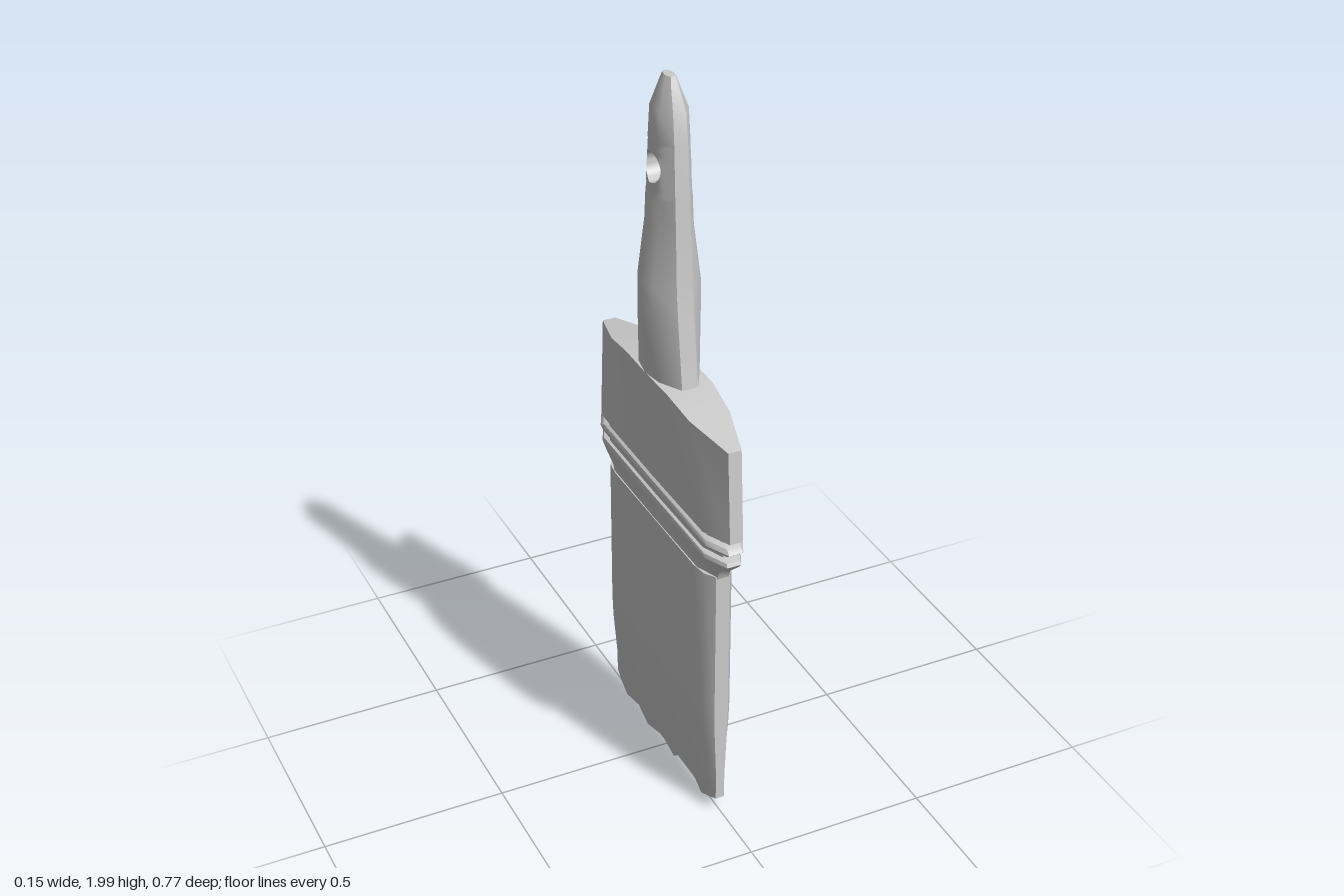
import * as THREE from 'three';
import { toCreasedNormals } from 'three/addons/utils/BufferGeometryUtils.js';

const material = new THREE.MeshStandardMaterial({ color: 0xcccccc });

function makeMesh(name, tris, crease = 0.6) {
  const g = new THREE.BufferGeometry();
  g.setAttribute('position', new THREE.Float32BufferAttribute(tris.flat(), 3));
  const mesh = new THREE.Mesh(toCreasedNormals(g, crease), material);
  mesh.name = name;
  return mesh;
}

const quad = (out, a, b, c, d) => out.push(a, b, c, a, c, d);
const flip = ([x, y, z]) => [-x, y, z];

// Skin rows of [x, y, z] (the +x half, z ascending) mirrored in x, from bottom to top
function loft(rows, capBottom, capTop) {
  const out = [];
  const rings = rows.map(r => [...r, ...r.map(flip).reverse()]);
  for (let j = 0; j < rings.length - 1; j++) {
    const lo = rings[j], hi = rings[j + 1], n = lo.length;
    for (let i = 0; i < n; i++) {
      const k = (i + 1) % n;
      quad(out, lo[i], hi[i], hi[k], lo[k]);
    }
  }
  const cap = (r, up) => {
    for (let i = 0; i < r.length - 1; i++) {
      const [a, b] = [r[i], r[i + 1]];
      if (up) quad(out, a, flip(a), flip(b), b);
      else quad(out, a, b, flip(b), flip(a));
    }
  };
  if (capBottom) cap(rows[0], false);
  if (capTop) cap(rows[rows.length - 1], true);
  return out;
}

// Mirror a half row of [x, y, z >= 0] (starting at z = 0) to negative z
const fullRow = half => [...half.slice(1).reverse().map(([x, y, z]) => [x, y, -z]), ...half];

// Handle: y, half thickness, half width, half thickness at the narrow edge
const HANDLE = [
  [1.205, 0.066, 0.122, 0.022], [1.4, 0.076, 0.097, 0.022], [1.47, 0.077, 0.09, 0.022],
  [1.62, 0.056, 0.081, 0.02], [1.7, 0.053, 0.077, 0.02], [1.84, 0.048, 0.067, 0.018],
  [1.92, 0.045, 0.058, 0.017], [1.985, 0.02, 0.029, 0.009], [2.0, 0.013, 0.022, 0.006],
];

function handleAt(y) {
  let i = 0;
  while (i < HANDLE.length - 2 && HANDLE[i + 1][0] < y) i++;
  const a = HANDLE[i], b = HANDLE[i + 1], t = (y - a[0]) / (b[0] - a[0]);
  return a.map((v, k) => v + (b[k] - v) * t);
}

// Half thickness of the handle at a point of its side silhouette
function handleX(y, z) {
  const [, hx, hz, ex] = handleAt(y);
  const s = Math.min(1, Math.abs(z) / hz), mx = hx * 0.84;
  return s < 0.5 ? hx + (mx - hx) * s * 2 : mx + (ex - mx) * (s * 2 - 1);
}

function handle() {
  const row = ([y, , hz]) => [-1, -0.5, 0, 0.5, 1].map(s => [handleX(y, s * hz), y, s * hz]);
  const out = [
    ...loft(HANDLE.slice(0, 5).map(row), true, false),
    ...loft(HANDLE.slice(5).map(row), false, true),
  ];

  // Section around the hanging hole: blend a circle out to the handle outline
  const y0 = 1.7, y1 = 1.84, cy = 1.77, radius = 0.039, seg = 8, steps = 4;
  const edge = [];
  const corners = [[-1, y0], [1, y0], [1, y1], [-1, y1]];
  corners.forEach((c, k) => {
    const d = corners[(k + 1) % 4];
    for (let i = 0; i < seg; i++) {
      const t = i / seg, y = c[1] + (d[1] - c[1]) * t;
      edge.push([(c[0] + (d[0] - c[0]) * t) * handleAt(y)[2], y]);
    }
  });
  const loops = [];
  for (let s = 0; s <= steps; s++) {
    loops.push(edge.map(([ez, ey]) => {
      const a = Math.atan2(ey - cy, ez), t = s / steps;
      const z = radius * Math.cos(a) * (1 - t) + ez * t;
      const y = (cy + radius * Math.sin(a)) * (1 - t) + ey * t;
      return [handleX(y, z), y, z];
    }));
  }
  const n = edge.length;
  for (let i = 0; i < n; i++) {
    const k = (i + 1) % n;
    for (let s = 0; s < steps; s++) {
      const a = loops[s][i], b = loops[s][k], c = loops[s + 1][k], d = loops[s + 1][i];
      quad(out, a, b, c, d);
      quad(out, flip(d), flip(c), flip(b), flip(a));
    }
    // Hole wall
    const p = loops[0][i], q = loops[0][k];
    quad(out, p, flip(p), flip(q), q);
  }
  // Narrow edges beside the hole
  for (const s of [1, -1]) {
    const [lo, hi] = [y0, y1].map(y => [handleAt(y)[3], y, s * handleAt(y)[2]]);
    if (s > 0) quad(out, lo, hi, flip(hi), flip(lo));
    else quad(out, lo, flip(lo), flip(hi), hi);
  }
  return makeMesh('handle', out, 0.7);
}

// Wide wooden shoulder with a sloping top
function shoulder() {
  const top = [[0.066, 1.21, 0], [0.064, 1.21, 0.12], [0.055, 1.19, 0.23], [0.018, 1.165, 0.368]];
  const bottom = [[0.05, 0.91, 0], [0.05, 0.91, 0.12], [0.048, 0.91, 0.32], [0.018, 0.91, 0.385]];
  return makeMesh('shoulder', loft([fullRow(bottom), fullRow(top)], true, true), 0.4);
}

// Ribbed band: y, half thickness, half width
function ferrule() {
  const profile = [
    [0.76, 0.044, 0.314], [0.785, 0.044, 0.322], [0.82, 0.05, 0.362], [0.835, 0.052, 0.375],
    [0.845, 0.05, 0.37], [0.848, 0.043, 0.345], [0.86, 0.043, 0.345], [0.866, 0.05, 0.37],
    [0.877, 0.053, 0.384], [0.888, 0.05, 0.37], [0.893, 0.043, 0.345], [0.904, 0.043, 0.345],
    [0.911, 0.05, 0.383],
  ];
  const rows = profile.map(([y, hx, hz]) =>
    fullRow([[hx, y, 0], [hx * 0.96, y, hz - 0.065], [hx * 0.37, y, hz]]));
  return makeMesh('ferrule', loft(rows, true, true));
}

// Bristles: flat block tapering to a ragged tip, given as [z, tip height]
function bristles() {
  const tip = [
    [-0.315, 0.05], [-0.285, 0.034], [-0.24, 0.014], [-0.16, 0.031], [-0.1, 0.006], [-0.02, 0.03],
    [0.01, 0.03], [0.07, 0.016], [0.09, 0.038], [0.195, 0.04], [0.24, 0.016], [0.285, 0.036], [0.315, 0.05],
  ];
  const levels = [[0, 0.018], [0.12, 0.029], [0.27, 0.043], [0.34, 0.046], [0.77, 0.046]];
  const rows = levels.map(([y, hx], j) => tip.map(([z, ty]) => {
    const a = Math.abs(z);
    const f = a > 0.3 ? 0.42 : a > 0.26 ? 0.85 : 1;
    return [hx * (j ? f : Math.max(f, 0.7)), j ? y : ty, z];
  }));
  return makeMesh('bristles', loft(rows, true, true), 0.8);
}

export function createModel() {
  const group = new THREE.Group();
  group.name = 'paintbrush';
  group.add(handle(), shoulder(), ferrule(), bristles());
  return group;
}
